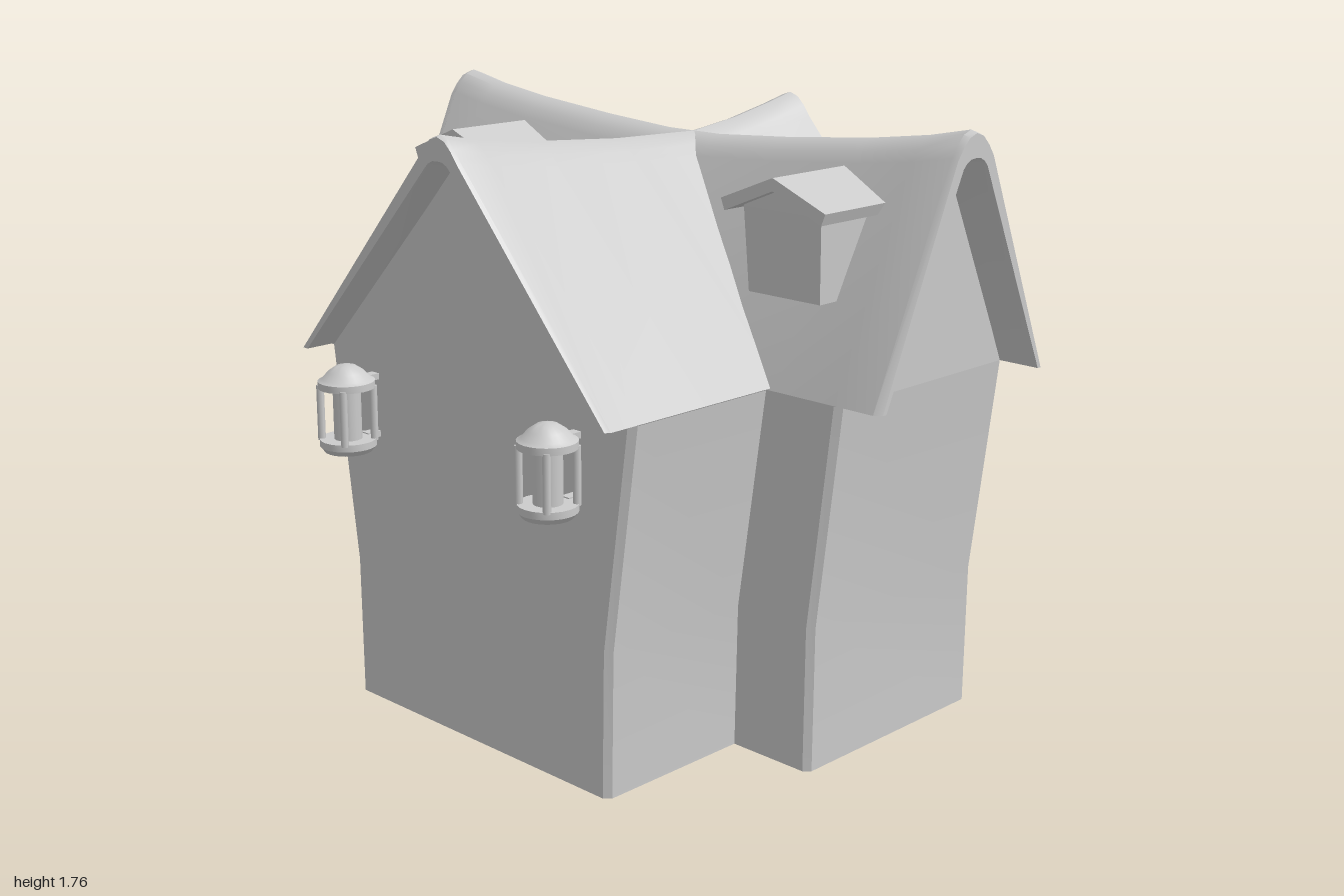
import * as THREE from 'three';
import { toCreasedNormals } from 'three/addons/utils/BufferGeometryUtils.js';

const grey = new THREE.MeshStandardMaterial({ color: 0xcccccc });
const thin = new THREE.MeshStandardMaterial({ color: 0xcccccc, side: THREE.DoubleSide });

const EAVE = 1.06;      // height of wall tops and eaves
const MAIN_Z = -0.322;  // z of the long ridge
const MAIN_HALF = 0.37, WING_HALF = 0.63;

function add(parent, name, geometry, material = grey) {
  const mesh = new THREE.Mesh(geometry, material);
  mesh.name = name;
  parent.add(mesh);
  return mesh;
}

// Skin closed rings of [x, y, z] points; extraQuads hold further corner points.
function loft(rings, extraQuads = []) {
  const out = [];
  const quad = (a, b, c, d) => out.push(...a, ...b, ...c, ...a, ...c, ...d);
  for (let s = 0; s < rings.length - 1; s++) {
    const n = rings[s].length;
    for (let i = 0; i < n; i++) {
      const j = (i + 1) % n;
      quad(rings[s][i], rings[s + 1][i], rings[s + 1][j], rings[s][j]);
    }
  }
  extraQuads.forEach((q) => quad(...q));
  const g = new THREE.BufferGeometry();
  g.setAttribute('position', new THREE.Float32BufferAttribute(out, 3));
  return toCreasedNormals(g, 0.5);
}

// T-shaped wall outline: w = half width of front wing, m = half width of main body
function footprint(y, w, m) {
  const b = 0.018, front = 0.56, mid = 0.053, back = -0.68;
  const half = [
    [w - b, front], [w, front - b], [w, mid], [m - b, mid],
    [m, mid - b], [m, back + b], [m - b, back],
  ];
  return [
    ...half.map(([x, z]) => [-x, y, z]),
    ...half.slice().reverse().map(([x, z]) => [x, y, z]),
  ];
}

// Thick roof with a rounded, sagging ridge along z.
// Each station: [z, ridge height, eave height, bevel inset]
function roof(half, stations) {
  const mirror = (list) => [
    ...list.map(([d, t]) => [-d, t]),
    ...list.slice(0, -1).reverse(),
  ];
  const rings = stations.map(([z, ridge, eave, inset = 0]) => {
    const outer = mirror([[half - inset, 0], [0.078, 0.905], [0.055, 0.95], [0.03, 0.985], [0, 1]]);
    const inner = mirror([[half - 0.03, 0], [0.052, 0.87], [0.038, 0.89], [0.02, 0.903], [0, 0.905]]);
    const rise = ridge - eave;
    return [...outer, ...inner.reverse()].map(([d, t]) => [d, eave + t * rise, z]);
  });
  const caps = [];
  const first = rings[0], last = rings[rings.length - 1];
  for (let i = 0; i < 8; i++) {
    caps.push([last[i], last[17 - i], last[16 - i], last[i + 1]]);
    caps.push([first[i], first[i + 1], first[16 - i], first[17 - i]]);
  }
  return loft(rings, caps);
}

// Flat gable wall filling the space below a roof
function gable(half, ridge) {
  const rise = ridge - EAVE, h = half - 0.018;
  return new THREE.ShapeGeometry(new THREE.Shape([
    [-h, 0], [h, 0], [0.06, 0.885], [0, 0.93], [-0.06, 0.885],
  ].map(([x, t]) => new THREE.Vector2(x, EAVE + t * rise))));
}

function dormer(x) {
  const g = new THREE.Group();
  g.name = 'dormer';
  g.position.x = x;
  // Body narrows towards the bottom and leans slightly forward
  const body = new THREE.BoxGeometry(0.27, 0.27, 0.25);
  body.translate(0, 1.435, -0.115);
  const p = body.attributes.position;
  for (let i = 0; i < p.count; i++) {
    if (p.getY(i) < 1.4) {
      p.setX(i, p.getX(i) * 0.92);
      p.setZ(i, p.getZ(i) > -0.1 ? -0.002 : -0.12);
    } else if (p.getZ(i) > -0.1) p.setZ(i, 0.015);
  }
  const q = p.array;
  for (let i = 1; i < q.length; i += 3) if (q[i] < 1.4) q[i] = 1.305;
  body.computeVertexNormals();
  add(g, 'dormerBody', body);
  // Small pitched roof
  const shape = new THREE.Shape([
    [0, 1.633], [-0.18, 1.56], [-0.167, 1.528], [0, 1.598], [0.167, 1.528], [0.18, 1.56],
  ].map((c) => new THREE.Vector2(...c)));
  const top = new THREE.ExtrudeGeometry(shape, { depth: 0.31, bevelEnabled: false });
  top.translate(0, 0, -0.256);
  add(g, 'dormerRoof', top);
  // Front infill below the small roof
  const infill = new THREE.ShapeGeometry(new THREE.Shape([
    [-0.135, 1.54], [0.135, 1.54], [0, 1.61],
  ].map((c) => new THREE.Vector2(...c))));
  add(g, 'dormerGable', infill.translate(0, 0, 0.015), thin);
  return g;
}

function lantern(x) {
  const g = new THREE.Group();
  g.name = 'lantern';
  g.position.set(x, 0, 0.665);
  const lathe = (pts) => toCreasedNormals(
    new THREE.LatheGeometry(pts.map((c) => new THREE.Vector2(...c)), 24), 0.6);
  add(g, 'lanternBase', lathe([[0, 0.802], [0.068, 0.802], [0.081, 0.818], [0.081, 0.838], [0, 0.838]]));
  add(g, 'lanternCap', lathe([
    [0, 0.988], [0.081, 0.988], [0.081, 1.008], [0.068, 1.015],
    [0.052, 1.034], [0.028, 1.05], [0, 1.056],
  ]));
  add(g, 'lanternGlass', new THREE.CylinderGeometry(0.04, 0.04, 0.16, 16).translate(0, 0.913, 0));
  for (let i = 0; i < 4; i++) {
    const a = Math.PI / 4 + i * Math.PI / 2;
    const post = add(g, 'lanternPost', new THREE.CylinderGeometry(0.011, 0.011, 0.16, 8));
    post.position.set(Math.cos(a) * 0.075, 0.913, Math.sin(a) * 0.075);
  }
  // Wall brackets
  for (const y of [0.832, 1.002]) {
    add(g, 'lanternBracket', new THREE.BoxGeometry(0.03, 0.018, 0.06).translate(0, y, -0.09));
  }
  return g;
}

export function createModel() {
  const house = new THREE.Group();
  house.name = 'house';

  // Walls: straight below, flaring outward towards the eaves, open underneath
  add(house, 'walls', loft([
    footprint(0, 0.53, 0.8),
    footprint(0.42, 0.535, 0.8),
    footprint(EAVE, 0.622, 0.873),
  ]), thin);

  // Gable walls
  add(house, 'frontGable', gable(WING_HALF, 1.72), thin).position.z = 0.56;
  const back = add(house, 'backGable', gable(WING_HALF, 1.715), thin);
  back.position.z = -0.68;
  back.rotation.y = Math.PI;
  for (const s of [-1, 1]) {
    const side = add(house, 'sideGable', gable(MAIN_HALF, 1.73), thin);
    side.position.set(s * 0.873, 0, MAIN_Z);
    side.rotation.y = s * Math.PI / 2;
  }

  // Main roof, ridge along x
  const halfRidge = [
    [0.1, 1.657], [0.35, 1.674], [0.65, 1.702], [0.85, 1.73], [0.98, 1.757], [1, 1.75, 0.016],
  ];
  const mainStations = [
    ...halfRidge.slice().reverse().map(([a, r, i]) => [-a, r, EAVE, i]),
    ...halfRidge.map(([a, r, i]) => [a, r, EAVE, i]),
  ];
  const mainRoof = add(house, 'mainRoof', roof(MAIN_HALF, mainStations));
  mainRoof.rotation.y = Math.PI / 2;
  mainRoof.position.z = MAIN_Z;

  // Cross roof, ridge along z
  add(house, 'crossRoof', roof(WING_HALF, [
    [-0.75, 1.733, 1.035], [-0.65, 1.71, 1.035], [-0.5, 1.68, 1.05], [-0.32, 1.657, 1.065],
    [0, 1.667, 1.065], [0.3, 1.69, 1.065], [0.54, 1.72, 1.065],
    [0.645, 1.742, 1.065], [0.658, 1.737, 1.065, 0.01],
  ]));

  house.add(dormer(-0.648), dormer(0.63));
  house.add(lantern(-0.413), lantern(0.42));
  return house;
}
